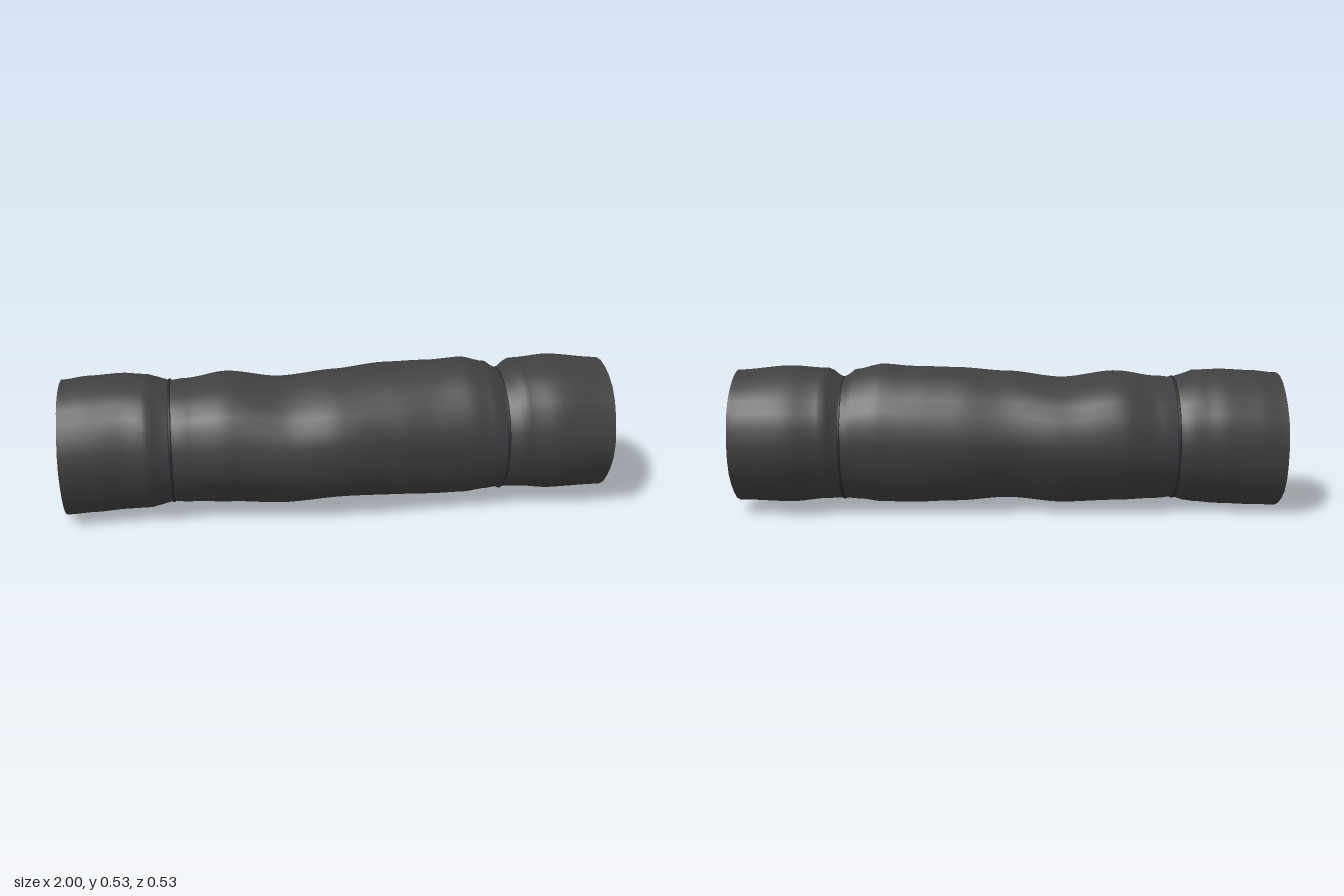
import * as THREE from 'three';

// cross-sections along the sleeve: x, top, bottom, back z, front z
const SECTIONS = [
  [-1, 0.51, 0.005, -0.245, 0.235],
  [-0.9, 0.52, 0.01, -0.25, 0.23],
  [-0.78, 0.525, 0.016, -0.25, 0.225],
  [-0.69, 0.52, 0.022, -0.24, 0.235],
  [-0.65, 0.505, 0.03, -0.238, 0.222],
  [-0.61, 0.491, 0.042, -0.227, 0.216],
  [-0.56, 0.497, 0.036, -0.238, 0.224],
  [-0.4, 0.52, 0.03, -0.265, 0.245],
  [-0.2, 0.495, 0.022, -0.26, 0.252],
  [0, 0.515, 0.036, -0.245, 0.265],
  [0.2, 0.53, 0.024, -0.255, 0.25],
  [0.35, 0.535, 0.02, -0.255, 0.24],
  [0.47, 0.545, 0.023, -0.25, 0.235],
  [0.56, 0.525, 0.036, -0.235, 0.226],
  [0.61, 0.493, 0.042, -0.23, 0.216],
  [0.67, 0.53, 0.04, -0.255, 0.234],
  [0.8, 0.54, 0.028, -0.27, 0.25],
  [1, 0.525, 0.035, -0.255, 0.24],
];
const SIDES = 28;

// smooth blend between neighbouring cross-sections
function sectionAt(x) {
  let i = 0;
  while (i < SECTIONS.length - 2 && x > SECTIONS[i + 1][0]) i++;
  const a = SECTIONS[i], b = SECTIONS[i + 1];
  const t = THREE.MathUtils.smoothstep(x, a[0], b[0]);
  return a.map((v, k) => THREE.MathUtils.lerp(v, b[k], t));
}

// soft hollow or bulge centred at (cx, ca) on the wall
function dent(x, a, cx, ca, wx, wa, depth) {
  const da = Math.atan2(Math.sin(a - ca), Math.cos(a - ca));
  return depth * Math.exp(-(((x - cx) / wx) ** 2) - (da / wa) ** 2);
}

// open crumpled cloth wall between two x positions
function clothWall(x0, x1, steps) {
  const pos = [], index = [];
  for (let i = 0; i <= steps; i++) {
    const x = x0 + ((x1 - x0) * i) / steps;
    const [, top, bottom, back, front] = sectionAt(x);
    const cy = (top + bottom) / 2, cz = (back + front) / 2;
    const ry = (top - bottom) / 2, rz = (front - back) / 2;
    const loose = Math.min(1, Math.abs(Math.abs(x) - 0.61) * 8);
    for (let j = 0; j < SIDES; j++) {
      const a = (j / SIDES) * Math.PI * 2;
      const wrinkle = 0.016 * Math.sin(5 * a + 4 * x) * Math.sin(2 * a)
        + 0.01 * Math.sin(3 * a - 9 * x) * Math.sin(2 * a + 0.3);
      const k = 1 + loose * (wrinkle - 0.01
        + dent(x, a, 0.3, -0.25, 0.18, 0.3, -0.035)
        + dent(x, a, 0.32, 0.45, 0.2, 0.3, 0.02)
        + dent(x, a, -0.35, -0.7, 0.15, 0.3, -0.03)
        + dent(x, a, -0.2, 3.6, 0.2, 0.3, -0.03));
      pos.push(x, cy + ry * k * Math.sin(a), cz + rz * k * Math.cos(a));
    }
  }
  for (let i = 0; i < steps; i++) {
    for (let j = 0; j < SIDES; j++) {
      const n = (j + 1) % SIDES;
      const p = i * SIDES + j, q = p + SIDES;
      const r = i * SIDES + n, s = r + SIDES;
      index.push(p, q, r, q, s, r);
    }
  }
  const geo = new THREE.BufferGeometry();
  geo.setAttribute('position', new THREE.Float32BufferAttribute(pos, 3));
  geo.setIndex(index);
  geo.computeVertexNormals();
  return geo;
}

export function createModel() {
  const cloth = new THREE.MeshStandardMaterial({ color: 0x404040, side: THREE.DoubleSide });
  cloth.name = 'charcoal cloth';
  const cord = new THREE.MeshStandardMaterial({ color: 0x2c2c34 });
  cord.name = 'dark cord';

  const model = new THREE.Group();
  model.name = 'clothSleeve';
  const add = (name, geo, mat) => {
    const mesh = new THREE.Mesh(geo, mat);
    mesh.name = name;
    model.add(mesh);
    return mesh;
  };

  // middle sleeve and the two flared cuffs
  add('sleeve', clothWall(-0.61, 0.61, 56), cloth);
  add('rightCuff', clothWall(-1, -0.61, 20), cloth);
  add('leftCuff', clothWall(0.61, 1, 20), cloth);

  // cords that cinch the sleeve
  for (const side of [-1, 1]) {
    const ring = add(side < 0 ? 'rightCord' : 'leftCord',
      new THREE.TorusGeometry(0.224, 0.006, 8, 48), cord);
    ring.rotation.y = Math.PI / 2;
    ring.position.set(side * 0.61, 0.266, -0.006);
  }
  return model;
}
